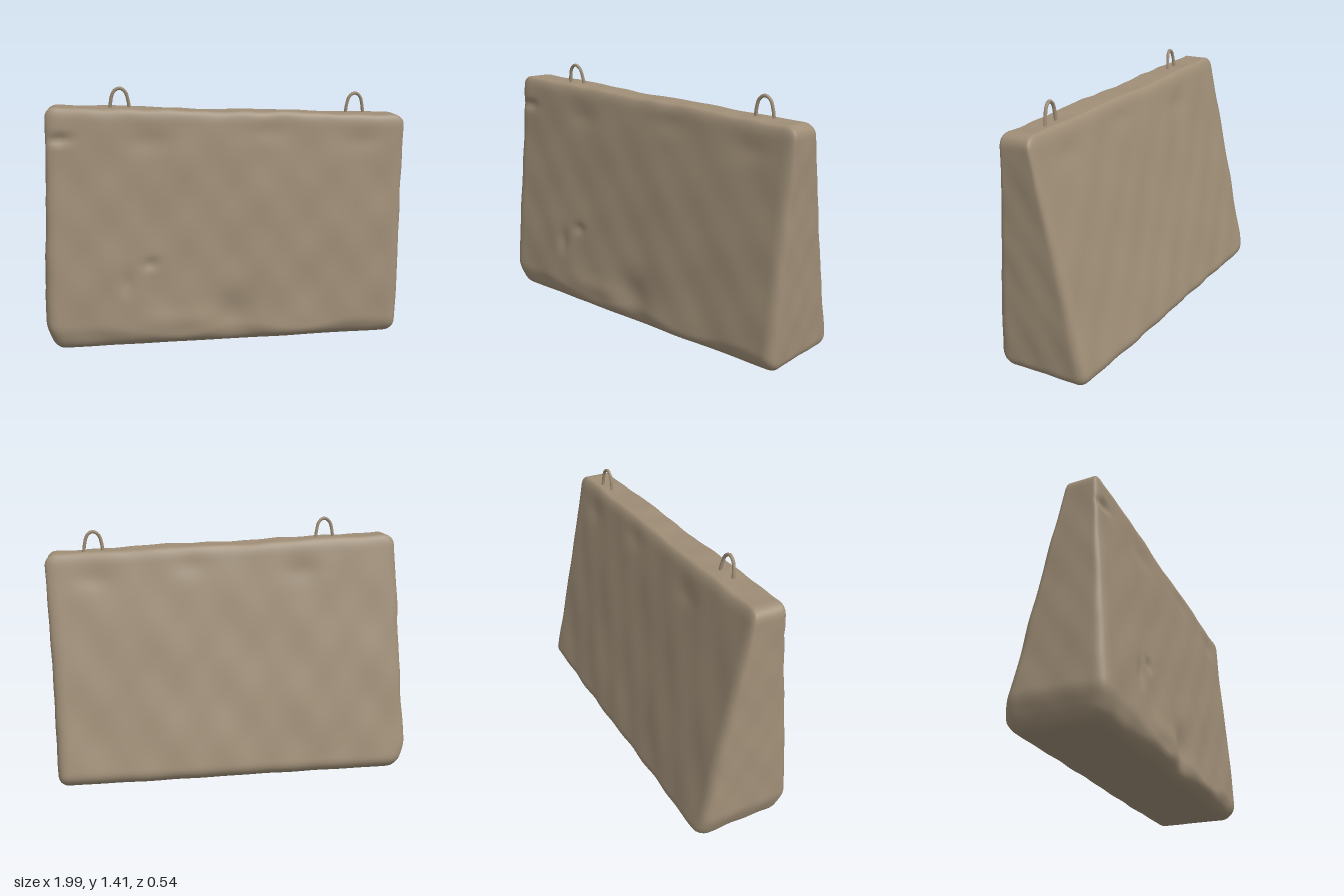
import * as THREE from 'three';
import { mergeVertices } from 'three/addons/utils/BufferGeometryUtils.js';

const { lerp, smoothstep, clamp } = THREE.MathUtils;
const bump = (a, b, ra, rb) => Math.exp(-((a / ra) ** 2) - (b / rb) ** 2);

// Smooth weathering, roughly -1..1
function wobble(x, y, z) {
  return 0.45 * Math.sin(5.1 * x + 2.3 * y + 3 * z + 0.7) * Math.cos(4.3 * y - 1.7 * x)
    + 0.3 * Math.sin(11 * x - 6 * y + 5 * z) * Math.cos(9 * y + 4 * x + 1.3)
    + 0.25 * Math.sin(23 * x + 8 * z + 2) * Math.cos(17 * y - 9 * z);
}

// Tapered stone slab: a rounded box reshaped by height
function slabGeometry() {
  const half = [1, 0.66, 0.25], r = 0.06;
  let geo = new THREE.BoxGeometry(2, 1.32, 0.5, 100, 70, 28);
  geo.deleteAttribute('uv');
  geo.deleteAttribute('normal');
  geo = mergeVertices(geo, 1e-4);
  const pos = geo.attributes.position, p = new THREE.Vector3(), core = new THREE.Vector3();
  for (let i = 0; i < pos.count; i++) {
    p.fromBufferAttribute(pos, i);
    // Round all edges
    core.set(...p.toArray().map((v, k) => clamp(v, r - half[k], half[k] - r)));
    p.sub(core).normalize().multiplyScalar(r).add(core);

    const t = (p.y + 0.66) / 1.32, u = p.x, w = (p.z + 0.25) / 0.5;
    // Sloping top, leaning ends, and a steeper back than front
    let y = 0.01 + t * lerp(1.315, 1.24, (u + 1) / 2);
    let x = u < 0 ? u * lerp(0.995, 0.945, t) : u * lerp(0.97, 0.995, t);
    const front = lerp(0.272, 0.178, t), back = lerp(-0.282, -0.004, t);
    let z = lerp(back, front, w);

    // Uneven faces, strongest towards the base
    const n = wobble(x, y, z);
    z += 0.009 * n * (w - 0.5) * 2 * lerp(1.3, 0.7, t);
    y += 0.008 * wobble(x * 1.3 + 2, z, y) * smoothstep(t, 0.05, 0.2);
    x += 0.007 * wobble(y + 4, z * 2, x) * u;

    // Hollow, chips and worn lower edge on the front
    if (w > 0.5) {
      const f = (w - 0.5) * 2;
      z -= f * 0.03 * bump(x - 0.02, y - 0.18, 0.13, 0.13);
      z -= f * 0.014 * (bump(x + 0.55, y - 0.38, 0.04, 0.07) + bump(x + 0.42, y - 0.48, 0.04, 0.03));
      z -= f * 0.02 * bump(x + 0.88, y - 1.16, 0.06, 0.025);
      z += f * 0.01 * bump(x + 0.25, y - 0.16, 0.2, 0.06);
      const edge = 0.1 + 0.08 * smoothstep(-x, 0.5, 1) + 0.025 * Math.sin(9 * x + 1);
      z -= f * 0.035 * (1 - smoothstep(y, 0, edge));
    }
    // Worn back foot and lower left corner
    if (w < 0.5) z += (0.5 - w) * 0.06 * (1 - smoothstep(y, 0, 0.09));
    if (u < 0) x += 0.05 * -u * (1 - smoothstep(y, 0, 0.18));
    // Shallow dents under the top edge
    for (const [dx, dy] of [[-0.4, 1.14], [0.22, 1.18], [0.75, 1.12]])
      z -= (w - 0.5) * 0.016 * bump(x - dx, y - dy, 0.1, 0.06);
    pos.setXYZ(i, x, Math.max(y, 0), z);
  }
  geo.computeVertexNormals();
  return geo;
}

// Lifting loop: a bent bar sunk into the top
function loopGeometry(x, y, z, lean) {
  const path = [[-0.052, -0.04], [-0.046, 0.04], [-0.03, 0.09], [0, 0.108], [0.03, 0.09], [0.046, 0.04], [0.055, -0.04]]
    .map(([a, b]) => new THREE.Vector3(x + a, y + b, z - a * 0.1 + b * lean));
  return new THREE.TubeGeometry(new THREE.CatmullRomCurve3(path), 28, 0.009, 8);
}

export function createModel() {
  const group = new THREE.Group();
  const stone = new THREE.MeshStandardMaterial({ color: 0x9f8e77 });
  stone.name = 'weathered stone';
  const add = (name, geo) => {
    const mesh = new THREE.Mesh(geo, stone);
    mesh.name = name;
    group.add(mesh);
  };
  add('slab', slabGeometry());
  add('rightLiftingLoop', loopGeometry(-0.56, 1.305, 0.088, 0.1));
  add('leftLiftingLoop', loopGeometry(0.738, 1.258, 0.058, 0.03));
  return group;
}
